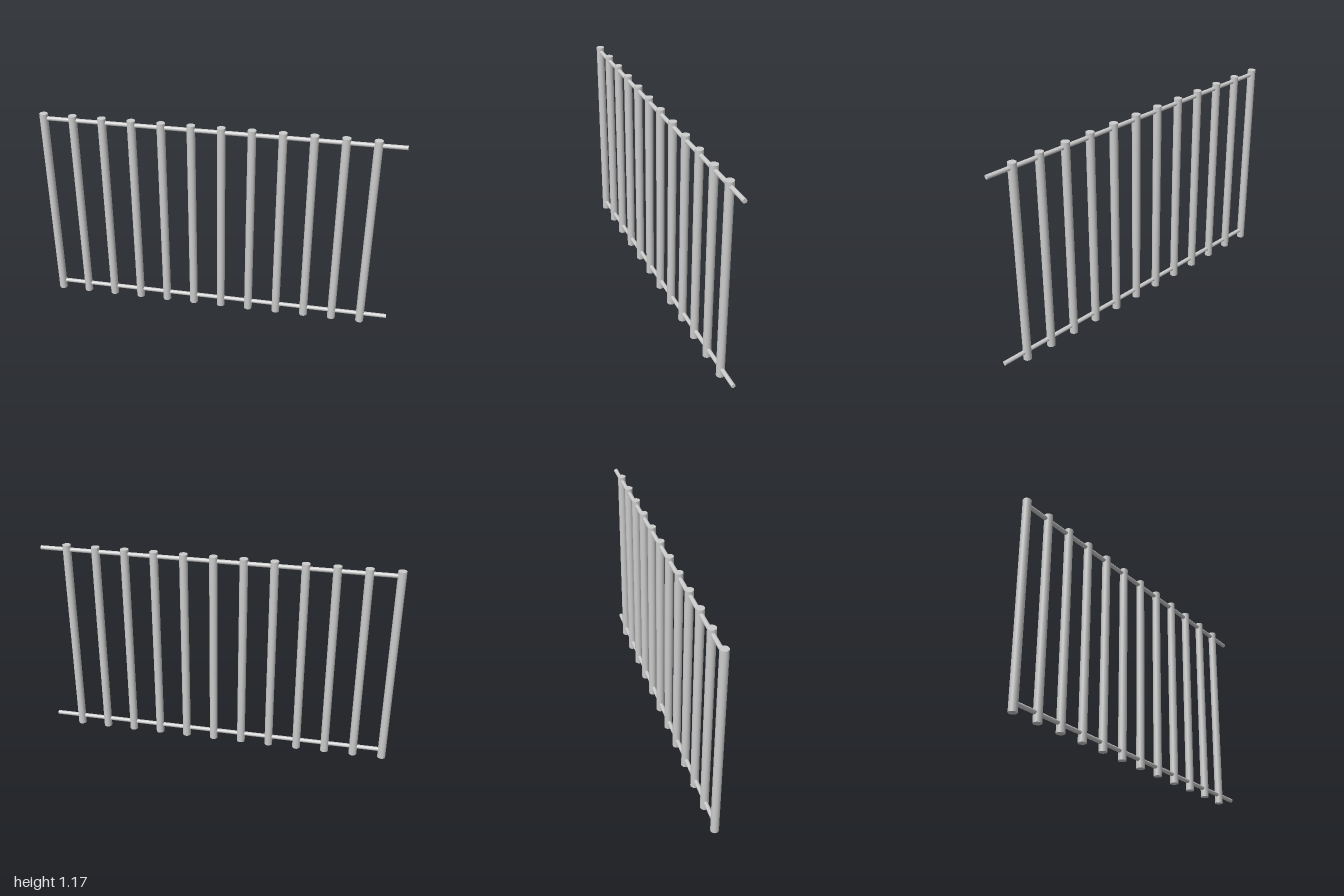
import * as THREE from 'three';

const POSTS = 12, SPACING = 0.166, FIRST_X = -0.977;
const HEIGHT = 1.172, POST_R = 0.0233, RAIL_R = 0.012;

export function createModel() {
  const fence = new THREE.Group();
  fence.name = 'barFence';
  const material = new THREE.MeshStandardMaterial({ color: 0xcccccc });

  // Evenly spaced upright posts
  const postGeometry = new THREE.CylinderGeometry(POST_R, POST_R, HEIGHT, 24);
  for (let i = 0; i < POSTS; i++) {
    const post = new THREE.Mesh(postGeometry, material);
    post.name = `post${i + 1}`;
    post.position.set(FIRST_X + i * SPACING, HEIGHT / 2, 0);
    fence.add(post);
  }

  // Thin rails from inside the first post to past the last one
  const railLength = 1 - FIRST_X;
  const railGeometry = new THREE.CylinderGeometry(RAIL_R, RAIL_R, railLength, 24).rotateZ(Math.PI / 2);
  for (const [name, y] of [['bottomRail', 0.051], ['topRail', 1.144]]) {
    const rail = new THREE.Mesh(railGeometry, material);
    rail.name = name;
    rail.position.set(FIRST_X + railLength / 2, y, 0);
    fence.add(rail);
  }

  return fence;
}
